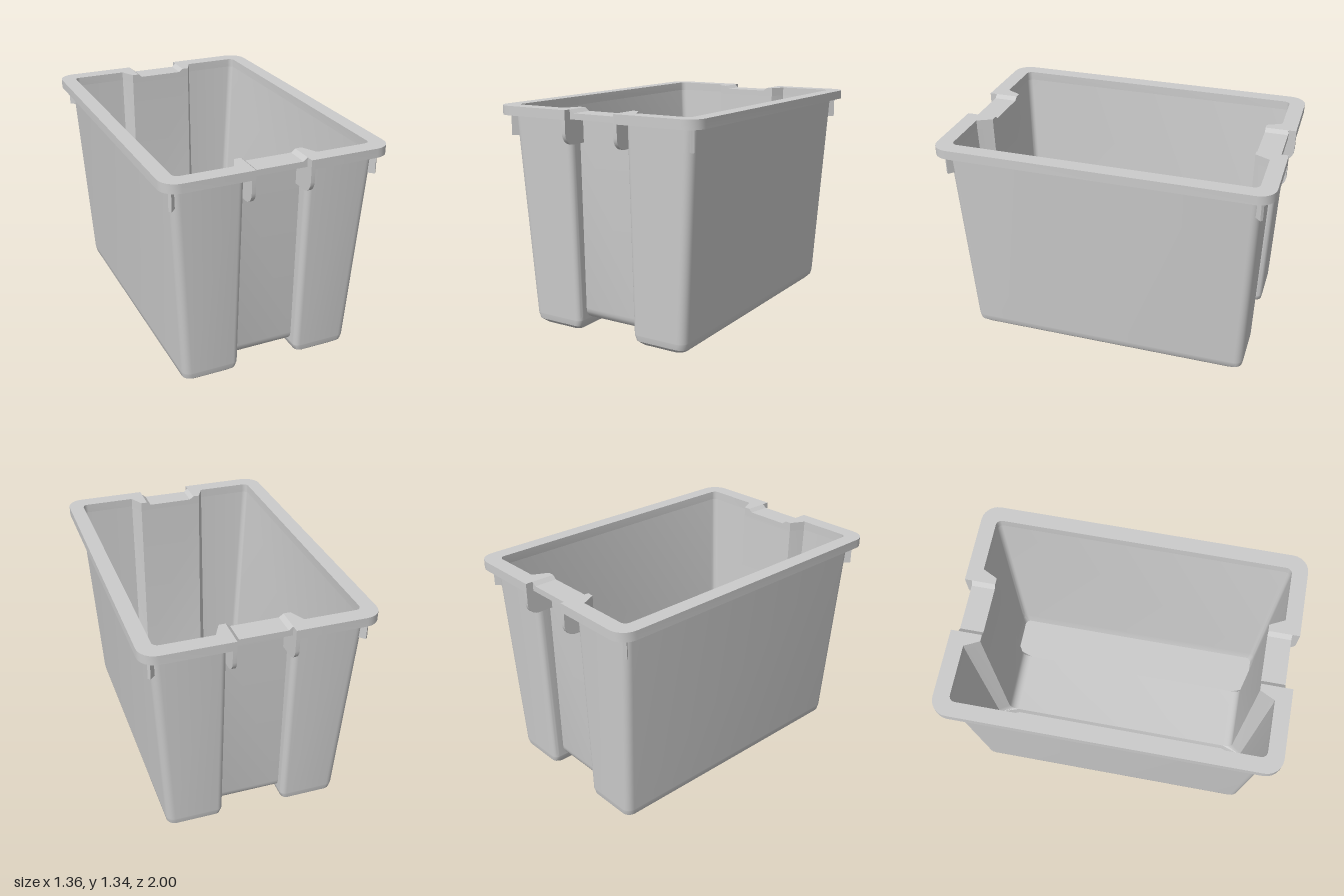
import * as THREE from 'three';
import { toCreasedNormals } from 'three/addons/utils/BufferGeometryUtils.js';

const material = new THREE.MeshStandardMaterial({ color: 0xcccccc });
const RIM_BOTTOM = 1.28, RIM_TOP = 1.335;

function part(name, geometry, turn = 0) {
  const mesh = new THREE.Mesh(geometry, material);
  mesh.name = name;
  mesh.rotation.y = turn;
  return mesh;
}

// Points of an arc in the x/z plane
function arc(cx, cz, r, from, to, steps = 6) {
  return Array.from({ length: steps + 1 }, (_, i) => {
    const a = from + (to - from) * i / steps;
    return [cx + r * Math.cos(a), cz + r * Math.sin(a)];
  });
}

// Adds the same points mirrored to the back
const mirrorZ = pts => [...pts, ...pts.slice().reverse().map(([x, z]) => [x, -z])];

// Open outline of one half of the bin at a level
function outline(l, skin) {
  const edge = skin.inner
    ? [[l.c + 0.045, l.hz]]
    : arc(l.c + 0.035, l.hz - 0.035, 0.035, Math.PI, Math.PI / 2);
  return mirrorZ([[l.c, l.zr], ...edge,
    ...arc(l.hx - skin.r, l.hz - skin.r, skin.r, Math.PI / 2, 0)]);
}

// Foot levels, then the fillet of the raised middle, then the rim
function makeLevels(skin) {
  const { hump, fillet: R, low, high } = skin;
  const at = (y, zr) => {
    const t = (y - hump) / (RIM_BOTTOM - hump);
    return { y, zr, c: skin.c, hx: low.hx + (high.hx - low.hx) * t, hz: low.hz + (high.hz - low.hz) * t };
  };
  const levels = skin.foot.map(([y, hx, hz, c]) => ({ y, hx, hz, c, zr: low.zr - R }));
  for (let i = 0; i <= 5; i++) {
    const a = i / 5 * Math.PI / 2;
    levels.push(at(hump + R - R * Math.cos(a), low.zr - R + R * Math.sin(a)));
  }
  levels.push(at(RIM_BOTTOM, high.zr));
  return levels;
}

function trianglesToGeometry(tris, flip) {
  const pos = tris.flatMap(([a, b, c]) => (flip ? [a, c, b] : [a, b, c]).flat());
  const g = new THREE.BufferGeometry();
  g.setAttribute('position', new THREE.Float32BufferAttribute(pos, 3));
  return toCreasedNormals(g, 0.6);
}

// Side walls and floor of one half
function podGeometry(skin, levels) {
  const rings = levels.map(l => outline(l, skin).map(([x, z]) => [x, l.y, z]));
  const n = rings[0].length, tris = [];
  for (let i = 0; i + 1 < rings.length; i++) {
    const closed = i < skin.foot.length;
    for (let j = 0; j < (closed ? n : n - 1); j++) {
      const k = (j + 1) % n, lo = rings[i], up = rings[i + 1];
      tris.push([lo[j], lo[k], up[k]], [lo[j], up[k], up[j]]);
    }
  }
  const centre = [(levels[0].c + levels[0].hx) / 2, levels[0].y, 0];
  rings[0].forEach((p, j) => tris.push([centre, rings[0][(j + 1) % n], p]));
  return trianglesToGeometry(tris, skin.inner);
}

// U-shaped panel through the middle: front recess, raised floor, back recess
function panelGeometry(skin, levels) {
  const side = levels.slice(skin.foot.length).reverse().map(l => [l.zr, l.y]);
  const path = [...side, ...side.slice().reverse().map(([z, y]) => [-z, y])];
  const tris = [];
  for (let i = 0; i + 1 < path.length; i++) {
    const [[z0, y0], [z1, y1]] = [path[i], path[i + 1]];
    const a = [-skin.c, y0, z0], b = [-skin.c, y1, z1], c = [skin.c, y1, z1], d = [skin.c, y0, z0];
    tris.push([a, b, c], [a, c, d]);
  }
  return trianglesToGeometry(tris, skin.inner);
}

const toShape = pts => new THREE.Shape(pts.map(([x, y]) => new THREE.Vector2(x, y)));
const extrude = (pts, depth) => new THREE.ExtrudeGeometry(toShape(pts), { depth, bevelEnabled: false });

export function createModel() {
  const model = new THREE.Group();
  model.name = 'storageBin';

  // Outer and inner skins; foot rows are y, half width, half depth, channel edge
  const skins = [
    { name: 'outer', inner: false, r: 0.05, c: 0.19, hump: 0.06, fillet: 0.07,
      foot: [[0, 0.505, 0.85, 0.222], [0.025, 0.53, 0.878, 0.2]],
      low: { hx: 0.537, hz: 0.885, zr: 0.82 }, high: { hx: 0.613, hz: 0.925, zr: 0.84 } },
    { name: 'inner', inner: true, r: 0.035, c: 0.205, hump: 0.085, fillet: 0.06,
      foot: [[0.025, 0.505, 0.845, 0.21]],
      low: { hx: 0.514, hz: 0.86, zr: 0.795 }, high: { hx: 0.59, hz: 0.905, zr: 0.815 } },
  ];
  for (const skin of skins) {
    const levels = makeLevels(skin);
    const pod = podGeometry(skin, levels);
    model.add(part(skin.name + 'LeftHalf', pod), part(skin.name + 'RightHalf', pod, Math.PI));
    model.add(part(skin.name + 'MiddlePanel', panelGeometry(skin, levels)));
  }

  // Rim: one C-shaped piece per side
  const outerEdge = mirrorZ([[0.165, 1], ...arc(0.58, 0.9, 0.1, Math.PI / 2, 0)]);
  const innerEdge = mirrorZ([[0.165, 0.815], [0.205, 0.815], [0.25, 0.905],
    ...arc(0.555, 0.87, 0.035, Math.PI / 2, 0)]);
  const rim = toCreasedNormals(extrude([...outerEdge, ...innerEdge.reverse()], RIM_TOP - RIM_BOTTOM)
    .rotateX(Math.PI / 2).translate(0, RIM_TOP, 0), 0.6);
  model.add(part('leftRim', rim), part('rightRim', rim, Math.PI));

  // Lowered grip bridge between the rim halves
  const bridge = extrude([[-0.165, RIM_BOTTOM], [0.165, RIM_BOTTOM], [0.165, RIM_TOP],
    [0.14, 1.315], [-0.14, 1.315], [-0.165, RIM_TOP]], 0.14).translate(0, 0, 0.815);

  // Grip rib with a rounded lower outer corner
  const rib = toCreasedNormals(extrude([[0.83, RIM_BOTTOM], [0.83, 1.135],
    ...arc(0.93, 1.205, 0.07, -Math.PI / 2, 0), [1, RIM_BOTTOM]], 0.024)
    .rotateY(-Math.PI / 2).translate(0.012, 0, 0), 0.6);

  // Thin diagonal fin under each rim corner
  const fin = new THREE.BoxGeometry(0.058, 0.125, 0.018);

  for (const [name, turn] of [['front', 0], ['back', Math.PI]]) {
    const end = new THREE.Group();
    end.name = name + 'End';
    end.rotation.y = turn;
    end.add(part('gripBridge', bridge));
    for (const s of [1, -1]) {
      const gripRib = part('gripRib', rib);
      gripRib.position.x = s * 0.177;
      const cornerFin = part('cornerFin', fin, -s * Math.PI / 4);
      cornerFin.position.set(s * 0.602, 1.2175, 0.913);
      end.add(gripRib, cornerFin);
    }
    model.add(end);
  }
  return model;
}
